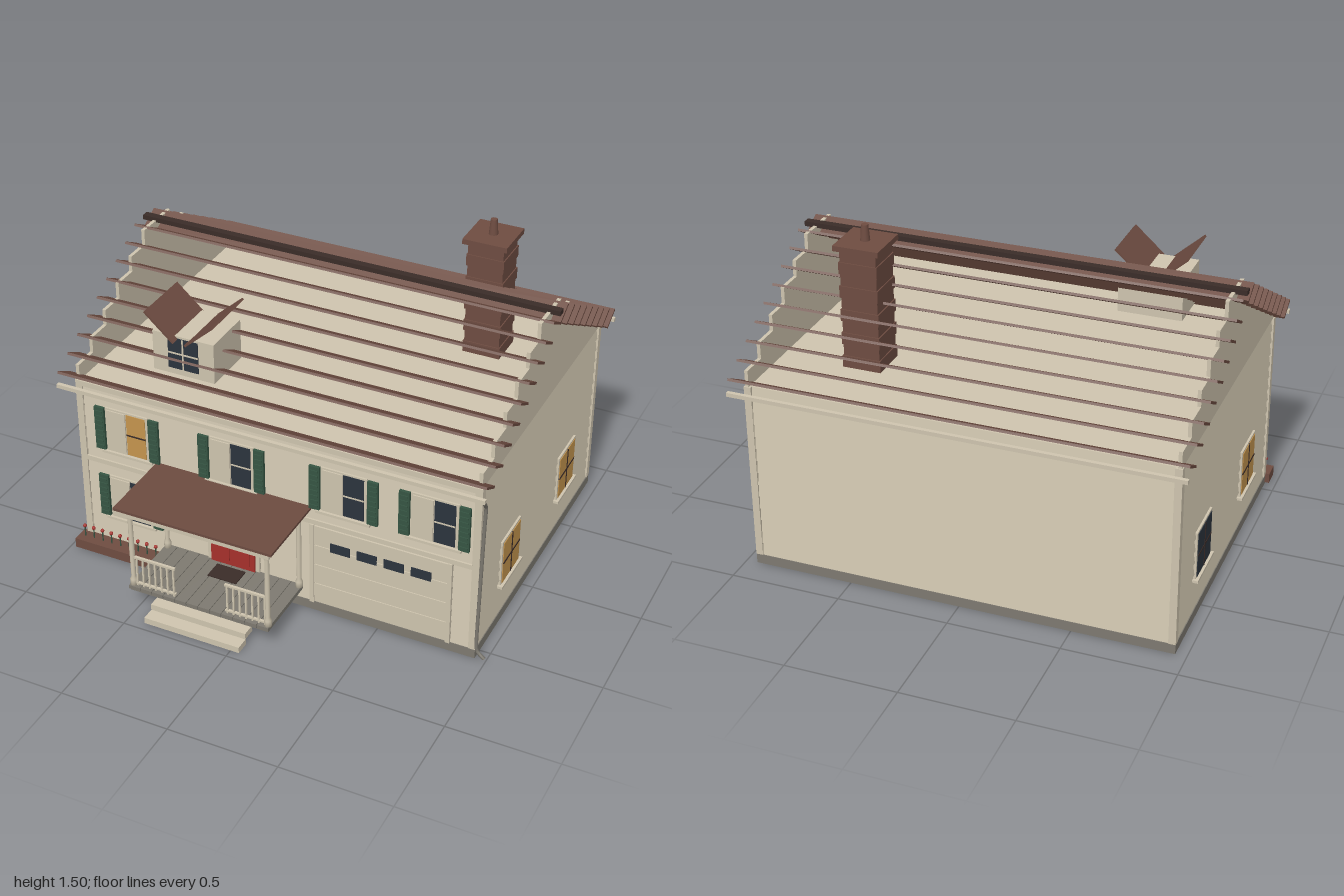
import * as THREE from 'three';

const mat = (name, color, extra = {}) => {
  const m = new THREE.MeshStandardMaterial({ color, ...extra });
  m.name = name;
  return m;
};

export function createModel() {
  const cream = mat('cream', 0xcec4ae);
  const roof = mat('roofBrown', 0x6c4b40);
  const brick = mat('brick', 0x6e4c41);
  const glass = mat('darkGlass', 0x2b333d);
  const warm = mat('warmGlass', 0xc4944e);
  const red = mat('red', 0xa5302b);
  const green = mat('green', 0x365543);
  const grey = mat('grey', 0x7d7970);
  const dark = mat('darkBrown', 0x3a2c28);

  const house = new THREE.Group();
  house.name = 'house';

  const add = (parent, name, geo, m, x = 0, y = 0, z = 0) => {
    const mesh = new THREE.Mesh(geo, m);
    mesh.name = name;
    mesh.position.set(x, y, z);
    parent.add(mesh);
    return mesh;
  };
  const box = (parent, name, m, w, h, d, x, y, z) =>
    add(parent, name, new THREE.BoxGeometry(w, h, d), m, x, y, z);
  // box given by its minimum and maximum corners
  const span = (name, m, x0, x1, y0, y1, z0, z1) =>
    box(house, name, m, x1 - x0, y1 - y0, z1 - z0, (x0 + x1) / 2, (y0 + y1) / 2, (z0 + z1) / 2);

  // Foundation and body, open attic above
  const midZ = -0.157, wallTop = 0.87;
  span('foundation', grey, -0.95, 0.95, 0, 0.045, -0.872, 0.558);
  span('body', cream, -0.935, 0.935, 0.04, wallTop, -0.858, 0.544);

  // Clapboard siding: sawtooth profile run along each wall
  const siding = (len, x, z, turn) => {
    const s = new THREE.Shape(), rows = 14, h = (wallTop - 0.045) / rows;
    s.moveTo(-0.004, 0.045);
    for (let i = 0; i < rows; i++) {
      s.lineTo(0.011, 0.045 + i * h);
      s.lineTo(0.002, 0.045 + (i + 1) * h);
    }
    s.lineTo(-0.004, wallTop);
    const g = new THREE.ExtrudeGeometry(s, { depth: len, bevelEnabled: false });
    g.translate(0, 0, -len / 2).rotateY(turn);
    add(house, 'siding', g, cream, x, 0, z);
  };
  siding(1.402, 0.935, midZ, 0);
  siding(1.402, -0.935, midZ, Math.PI);
  siding(1.87, 0, 0.544, -Math.PI / 2);
  siding(1.87, 0, -0.858, Math.PI / 2);

  // Corner boards
  for (const x of [-0.935, 0.935])
    for (const z of [0.543, -0.857]) box(house, 'cornerBoard', cream, 0.032, wallTop - 0.045, 0.032, x, 0.4575, z);
  span('beltBoard', cream, -0.92, 0.92, 0.46, 0.483, 0.54, 0.56);
  span('friezeBoard', cream, -0.92, 0.92, 0.845, 0.87, 0.54, 0.56);

  // Stepped gable walls
  const gable = new THREE.Shape();
  const steps = 6, half = 0.71, run = 0.119, rise = 0.0742;
  gable.moveTo(-half, wallTop);
  gable.lineTo(half, wallTop);
  for (let i = 0; i < steps; i++) {
    gable.lineTo(half - i * run, wallTop + (i + 1) * rise);
    if (i < steps - 1) gable.lineTo(half - (i + 1) * run, wallTop + (i + 1) * rise);
  }
  for (let i = steps - 1; i >= 0; i--) {
    gable.lineTo(-half + i * run, wallTop + (i + 1) * rise);
    if (i > 0) gable.lineTo(-half + i * run, wallTop + i * rise);
  }
  const gableGeo = new THREE.ExtrudeGeometry(gable, { depth: 0.016, bevelEnabled: false });
  gableGeo.translate(0, 0, -0.008).rotateY(-Math.PI / 2);
  for (const x of [-0.938, 0.938]) add(house, 'gable', gableGeo, cream, x, 0, midZ);

  // Roof boards, each tipped up at its outer edge
  for (const side of [1, -1])
    for (let i = 0; i < 9; i++) {
      const b = box(house, 'roofBoard', roof, 1.985, 0.011, 0.102, -0.004,
        1.291 - i * 0.0485, midZ + side * (0.043 + i * 0.0862));
      b.rotation.x = -side * 0.5;
    }
  box(house, 'ridgeCap', dark, 1.985, 0.022, 0.034, -0.004, 1.318, midZ - 0.006);
  for (const z of [0.627, -0.947]) box(house, 'gutter', cream, 1.985, 0.018, 0.018, -0.004, 0.867, z);

  // Chimney with brick courses
  for (let i = 0; i < 10; i++) {
    const w = i % 2 ? 0.164 : 0.174;
    box(house, 'chimneyCourse', brick, w, 0.054, w, 0.555, 0.897 + i * 0.054, -0.477);
  }
  box(house, 'chimneyCap', brick, 0.205, 0.024, 0.205, 0.555, 1.422, -0.477);
  add(house, 'chimneyPot', new THREE.CylinderGeometry(0.015, 0.021, 0.072, 12), brick, 0.555, 1.469, -0.477);

  // Dormer with two tipped roof panels
  span('dormer', cream, -0.62, -0.325, 0.95, 1.14, 0.2, 0.44);
  for (const s of [-1, 1]) {
    const p = box(house, 'dormerRoof', roof, 0.182, 0.01, 0.28, -0.4725 + s * 0.095, 1.184, 0.335);
    p.rotation.z = s * 0.73;
  }
  span('dormerGlass', glass, -0.545, -0.4, 0.98, 1.13, 0.438, 0.444);
  span('dormerMullion', cream, -0.476, -0.469, 0.98, 1.13, 0.44, 0.447);
  span('dormerMullion', cream, -0.545, -0.4, 1.053, 1.06, 0.44, 0.447);

  // Front windows: one covered sash, one glazed sash, two shutters
  const frontWindow = (x, y, m) => {
    const g = new THREE.Group();
    g.name = 'frontWindow';
    g.position.set(x, y, 0.556);
    house.add(g);
    box(g, 'frame', cream, 0.212, 0.222, 0.012, 0, 0, 0);
    box(g, 'closedSash', cream, 0.092, 0.206, 0.012, -0.05, 0, 0.006);
    box(g, 'pane', m, 0.094, 0.206, 0.006, 0.047, 0, 0.006);
    box(g, 'mullion', m === warm ? dark : cream, 0.094, 0.007, 0.006, 0.047, 0, 0.008);
    box(g, 'sill', cream, 0.25, 0.012, 0.026, 0, -0.113, 0.006);
    for (const s of [-1, 1]) {
      box(g, 'shutter', green, 0.048, 0.216, 0.014, s * 0.134, 0, 0.006);
      for (let i = 0; i < 8; i++) box(g, 'slat', green, 0.036, 0.008, 0.006, s * 0.134, -0.088 + i * 0.025, 0.014);
    }
  };
  [-0.702, -0.19, 0.338, 0.748].forEach((x, i) => frontWindow(x, 0.655, i ? glass : warm));
  frontWindow(-0.702, 0.298, glass);

  // Side windows
  const sideWindow = (side, z, m) => {
    const g = new THREE.Group();
    g.name = 'sideWindow';
    g.position.set(side * 0.946, 0.31, z);
    g.rotation.y = side * Math.PI / 2;
    house.add(g);
    box(g, 'frame', cream, 0.216, 0.228, 0.012, 0, 0, 0);
    box(g, 'pane', m, 0.192, 0.208, 0.006, 0, 0, 0.006);
    box(g, 'mullion', dark, 0.009, 0.208, 0.006, 0, 0, 0.008);
    box(g, 'mullion', dark, 0.192, 0.009, 0.006, 0, 0, 0.008);
    box(g, 'sill', cream, 0.24, 0.012, 0.026, 0, -0.115, 0.006);
  };
  sideWindow(1, 0.183, warm);
  sideWindow(1, -0.505, warm);
  sideWindow(-1, 0.183, warm);
  sideWindow(-1, -0.505, glass);

  // Garage door
  for (let i = 0; i < 4; i++) span('garagePanel', cream, 0.2, 0.815, 0.05 + i * 0.102, 0.148 + i * 0.102, 0.54, 0.561);
  for (const x of [0.19, 0.825]) box(house, 'garageTrim', cream, 0.02, 0.415, 0.026, x, 0.2525, 0.553);
  for (let i = 0; i < 4; i++) box(house, 'garageWindow', glass, 0.092, 0.046, 0.006, 0.323 + i * 0.1245, 0.364, 0.561);

  // Front door with wreath, mat and lamp
  span('doorFrame', cream, -0.32, -0.065, 0.115, 0.505, 0.54, 0.562);
  span('door', red, -0.3, -0.085, 0.115, 0.455, 0.55, 0.57);
  span('doorHeader', red, -0.3, -0.085, 0.472, 0.5, 0.55, 0.57);
  for (const x of [-0.243, -0.142])
    for (const [y, h] of [[0.19, 0.1], [0.345, 0.14]]) box(house, 'doorPanel', red, 0.07, h, 0.008, x, y, 0.572);
  add(house, 'doorKnob', new THREE.SphereGeometry(0.008, 10, 8), dark, -0.102, 0.27, 0.576);
  add(house, 'wreath', new THREE.TorusGeometry(0.034, 0.011, 8, 20), green, -0.19, 0.44, 0.583);
  box(house, 'wreathBow', red, 0.02, 0.012, 0.012, -0.19, 0.406, 0.594);
  add(house, 'porchLamp', new THREE.SphereGeometry(0.009, 10, 8), dark, -0.02, 0.422, 0.566);
  span('doormat', dark, -0.26, -0.12, 0.113, 0.12, 0.59, 0.68);

  // Porch deck boards, steps, posts, railings and roof
  for (let i = 0; i < 12; i++) span('deckBoard', grey, -0.535 + i * 0.0567, -0.481 + i * 0.0567, 0.098, 0.115, 0.555, 0.885);
  span('deckFrame', grey, -0.53, 0.14, 0.09, 0.108, 0.555, 0.88);
  for (let i = 0; i < 3; i++) span('step', cream, -0.42, 0.04, i * 0.03, i * 0.03 + 0.029, 0.896 - i * 0.06, 0.96 - i * 0.06);
  const postGeo = new THREE.LatheGeometry(
    [[0, 0], [0.016, 0], [0.016, 0.03], [0.01, 0.045], [0.012, 0.2], [0.01, 0.345], [0.016, 0.36], [0.016, 0.39], [0, 0.39]]
      .map(([x, y]) => new THREE.Vector2(x, y)), 12);
  for (const x of [-0.52, 0.133])
    for (const z of [0.866, 0.572]) add(house, 'porchPost', postGeo, cream, x, 0.115, z);
  for (const [x0, x1] of [[-0.51, -0.31], [-0.07, 0.13]]) {
    span('topRail', cream, x0, x1, 0.258, 0.268, 0.86, 0.872);
    span('bottomRail', cream, x0, x1, 0.125, 0.133, 0.86, 0.872);
    for (let i = 0; i < 7; i++) box(house, 'baluster', cream, 0.008, 0.15, 0.008, x0 + 0.01 + i * 0.03, 0.19, 0.866);
  }
  span('porchBeam', cream, -0.545, 0.165, 0.502, 0.532, 0.55, 0.912);
  span('porchRoof', roof, -0.565, 0.185, 0.532, 0.544, 0.55, 0.925);

  // Flower planter
  span('planter', brick, -0.97, -0.42, 0.008, 0.055, 0.55, 0.632);
  for (let i = 0; i < 9; i++) {
    const x = -0.94 + i * 0.046;
    add(house, 'stem', new THREE.CylinderGeometry(0.003, 0.003, 0.055, 6), green, x, 0.08, 0.592);
    add(house, 'flower', new THREE.SphereGeometry(0.009, 8, 6), red, x, 0.11, 0.592);
  }

  // Downspout
  const path = new THREE.CatmullRomCurve3([
    [0.978, 0.862, 0.625], [0.972, 0.8, 0.572], [0.967, 0.7, 0.565], [0.96, 0.3, 0.565], [0.958, 0.06, 0.565], [0.995, 0.018, 0.565],
  ].map((p) => new THREE.Vector3(...p)), false, 'catmullrom', 0.2);
  add(house, 'downspout', new THREE.TubeGeometry(path, 40, 0.008, 8), grey);

  return house;
}
